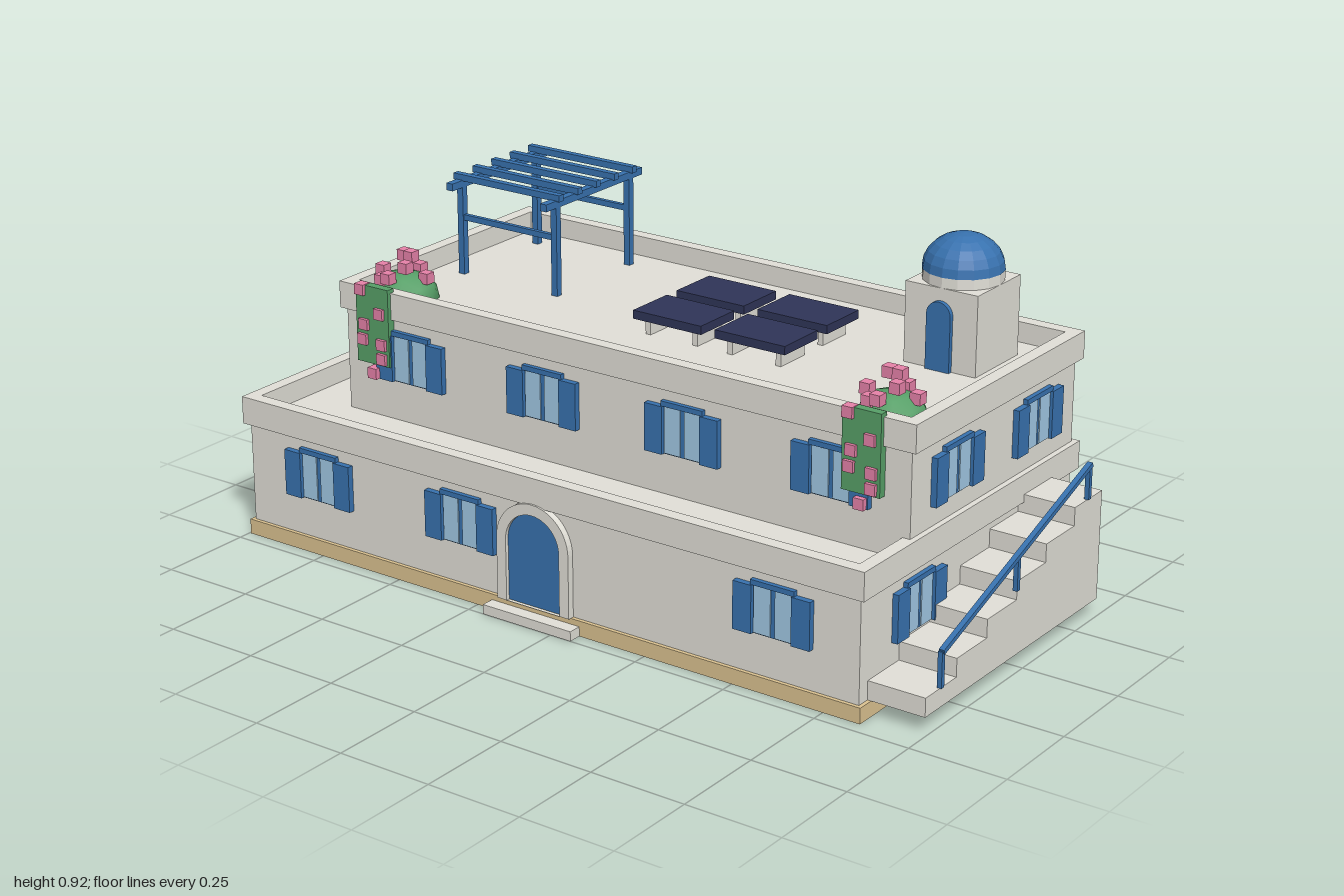
import * as THREE from 'three';

const paint = (name, color) => {
  const m = new THREE.MeshStandardMaterial({ color });
  m.name = name;
  return m;
};

export function createModel() {
  const white = paint('limewash', 0xe2e0d8);
  const sand = paint('sandstone', 0xdcc391);
  const blue = paint('blue paint', 0x3872af);
  const glass = paint('window glass', 0xa2c9e5);
  const navy = paint('solar cell', 0x2f3558);
  const green = paint('foliage', 0x57a068);
  const pink = paint('blossom', 0xe782a9);

  const model = new THREE.Group();
  model.name = 'villa';

  const add = (parent, name, geo, mat, x = 0, y = 0, z = 0) => {
    const mesh = new THREE.Mesh(geo, mat);
    mesh.name = name;
    mesh.position.set(x, y, z);
    parent.add(mesh);
    return mesh;
  };
  // Box given by its lower and upper limits on each axis
  const block = (parent, name, mat, x0, x1, y0, y1, z0, z1) =>
    add(parent, name, new THREE.BoxGeometry(x1 - x0, y1 - y0, z1 - z0), mat,
      (x0 + x1) / 2, (y0 + y1) / 2, (z0 + z1) / 2);
  const group = (name, parent = model) => {
    const g = new THREE.Group();
    g.name = name;
    parent.add(g);
    return g;
  };
  const rect = (target, x0, x1, y0, y1) => {
    target.moveTo(x0, y0);
    target.lineTo(x1, y0);
    target.lineTo(x1, y1);
    target.lineTo(x0, y1);
    target.closePath();
    return target;
  };
  // Rectangular ring wall around a flat roof
  const parapet = (name, x0, x1, z0, z1, y0, y1) => {
    const t = 0.035;
    const shape = rect(new THREE.Shape(), x0, x1, -z1, -z0);
    shape.holes.push(rect(new THREE.Path(), x0 + t, x1 - t, -z1 + t, -z0 - t));
    const geo = new THREE.ExtrudeGeometry(shape, { depth: y1 - y0, bevelEnabled: false });
    geo.rotateX(-Math.PI / 2);
    add(model, name, geo, white, 0, y0, 0);
  };
  // Round-topped outline standing on y = 0
  const arch = (target, w, h) => {
    const r = w / 2;
    target.moveTo(-r, 0);
    target.lineTo(r, 0);
    target.lineTo(r, h - r);
    target.absarc(0, h - r, r, 0, Math.PI, false);
    target.closePath();
    return target;
  };
  const slab = (shape, depth) =>
    new THREE.ExtrudeGeometry(shape, { depth, bevelEnabled: false, curveSegments: 12 });

  // Storeys and flat roofs
  block(model, 'plinth', sand, -0.995, 0.85, 0, 0.04, -0.495, 0.465);
  block(model, 'groundFloor', white, -0.985, 0.84, 0.04, 0.32, -0.485, 0.455);
  block(model, 'upperFloor', white, -0.825, 0.84, 0.32, 0.605, -0.485, 0.255);
  parapet('terraceParapet', -1, 0.855, -0.5, 0.468, 0.302, 0.374);
  parapet('roofParapet', -0.84, 0.855, -0.5, 0.265, 0.587, 0.657);

  // Shuttered windows, built facing +z with the sill at y = 0
  const windowAt = (x, y, z, turn) => {
    const w = group('window');
    block(w, 'frame', blue, -0.053, 0.053, 0, 0.125, 0, 0.006);
    block(w, 'lintel', blue, -0.06, 0.06, 0.121, 0.134, 0, 0.012);
    for (const s of [-1, 1]) {
      add(w, 'pane', new THREE.BoxGeometry(0.046, 0.117, 0.004), glass, s * 0.029, 0.061, 0.007);
      add(w, 'shutter', new THREE.BoxGeometry(0.051, 0.121, 0.016), blue, s * 0.08, 0.0605, 0.008);
    }
    w.position.set(x, y, z);
    w.rotation.y = turn;
  };
  const low = 0.144, high = 0.425;
  for (let i = 0; i < 4; i++) {
    const xl = -0.755 + i * 0.455, xu = -0.615 + i * 0.415;
    if (i !== 2) windowAt(xl, low, 0.455, 0);
    windowAt(xl, low, -0.485, Math.PI);
    windowAt(xu, high, 0.255, 0);
    windowAt(xu, high, -0.485, Math.PI);
  }
  for (const z of [0.065, -0.3]) {
    windowAt(0.84, high, z, Math.PI / 2);
    windowAt(-0.825, high, z, -Math.PI / 2);
  }
  for (const z of [0.217, -0.25]) windowAt(-0.985, low, z, -Math.PI / 2);
  windowAt(0.84, low, 0.217, Math.PI / 2);

  // Arched front door with surround and step
  const surround = arch(new THREE.Shape(), 0.216, 0.268);
  surround.holes.push(arch(new THREE.Path(), 0.16, 0.24));
  add(model, 'doorSurround', slab(surround, 0.018), white, -0.073, 0.04, 0.455);
  add(model, 'frontDoor', slab(arch(new THREE.Shape(), 0.16, 0.24), 0.008), blue, -0.073, 0.04, 0.455);
  block(model, 'doorStep', white, -0.205, 0.06, 0, 0.025, 0.455, 0.5);

  // Outside staircase and handrail
  const stairs = group('staircase');
  const stepLen = 0.131, zStart = 0.42, zEnd = zStart - 6 * stepLen;
  const profile = new THREE.Shape();
  profile.moveTo(-zStart, 0.04);
  profile.lineTo(-zEnd, 0.04);
  for (let i = 5; i >= 0; i--) {
    const y = 0.088 + i * 0.0468;
    profile.lineTo(-zStart + (i + 1) * stepLen, y);
    profile.lineTo(-zStart + i * stepLen, y);
  }
  profile.closePath();
  const flight = add(stairs, 'steps', slab(profile, 0.152), white, 0.84, 0, 0);
  flight.rotation.y = Math.PI / 2;
  for (const [z, y0, y1] of [[0.354, 0.088, 0.178], [0.027, 0.205, 0.293], [-0.299, 0.322, 0.41]]) {
    block(stairs, 'railPost', blue, 0.984, 0.996, y0, y1, z - 0.006, z + 0.006);
  }
  const rail = add(stairs, 'handrail', new THREE.BoxGeometry(0.014, 0.012, 0.698), blue, 0.992, 0.294, 0.0275);
  rail.rotation.x = Math.atan2(0.232, 0.653);

  // Domed roof tower
  const tower = group('domedTower');
  block(tower, 'towerWalls', white, 0.54, 0.738, 0.6, 0.808, -0.384, -0.187);
  add(tower, 'drum', new THREE.CylinderGeometry(0.099, 0.099, 0.028, 16).toNonIndexed(), white, 0.639, 0.821, -0.286)
    .geometry.computeVertexNormals();
  const domeGeo = new THREE.SphereGeometry(0.1, 16, 6, 0, Math.PI * 2, 0, Math.PI / 2).toNonIndexed();
  domeGeo.scale(1, 0.86, 1);
  domeGeo.computeVertexNormals();
  add(tower, 'dome', domeGeo, blue, 0.639, 0.834, -0.286);
  add(tower, 'towerDoor', slab(arch(new THREE.Shape(), 0.066, 0.172), 0.012), blue, 0.639, 0.605, -0.187);

  // Pergola
  const pergola = group('pergola');
  for (const x of [-0.725, -0.424]) {
    block(pergola, 'beam', blue, x - 0.01, x + 0.01, 0.838, 0.857, -0.436, -0.035);
    for (const z of [-0.085, -0.39]) {
      block(pergola, 'post', blue, x - 0.009, x + 0.009, 0.6, 0.838, z - 0.009, z + 0.009);
    }
  }
  for (const z of [-0.085, -0.39]) {
    block(pergola, 'crossRail', blue, -0.725, -0.424, 0.75, 0.765, z - 0.006, z + 0.006);
  }
  for (let i = 0; i < 5; i++) {
    const z = -0.085 - i * 0.0765;
    block(pergola, 'slat', blue, -0.745, -0.405, 0.855, 0.872, z - 0.009, z + 0.009);
  }

  // Solar panels on low feet
  const solar = group('solarPanels');
  for (const x of [0.006, 0.248]) {
    for (const z of [-0.215, -0.034]) {
      add(solar, 'panel', new THREE.BoxGeometry(0.202, 0.022, 0.14), navy, x, 0.656, z);
      for (const s of [-0.07, 0.07]) {
        add(solar, 'foot', new THREE.BoxGeometry(0.015, 0.045, 0.1), white, x + s, 0.625, z);
      }
    }
  }

  // Flowering bushes and hanging vines at the roof corners
  const bushBlooms = [[-0.06, 0.672, 0.015], [-0.035, 0.7, -0.04], [0.01, 0.672, -0.045], [0.06, 0.665, -0.01],
    [0.035, 0.7, 0.04], [0, 0.672, 0.066], [0.01, 0.712, -0.012], [-0.03, 0.66, 0.055]];
  const vineBlooms = [[-0.035, 0.655], [0.025, 0.6], [-0.025, 0.565], [0.03, 0.52], [-0.03, 0.525], [0.03, 0.482], [0, 0.44]];
  const bloom = new THREE.BoxGeometry(0.028, 0.028, 0.028);
  for (const x of [-0.725, 0.718]) {
    const plant = group('bougainvillea');
    plant.position.x = x;
    const bush = add(plant, 'bush', new THREE.IcosahedronGeometry(0.085, 1), green, 0, 0.607, 0.145);
    bush.scale.y = 0.82;
    block(plant, 'hangingVine', green, -0.052, 0.052, 0.463, 0.667, 0.253, 0.276);
    for (const [bx, by, bz] of bushBlooms) add(plant, 'blossom', bloom, pink, bx, by, 0.145 + bz);
    for (const [bx, by] of vineBlooms) add(plant, 'blossom', bloom, pink, bx, by, 0.271);
  }
  return model;
}
